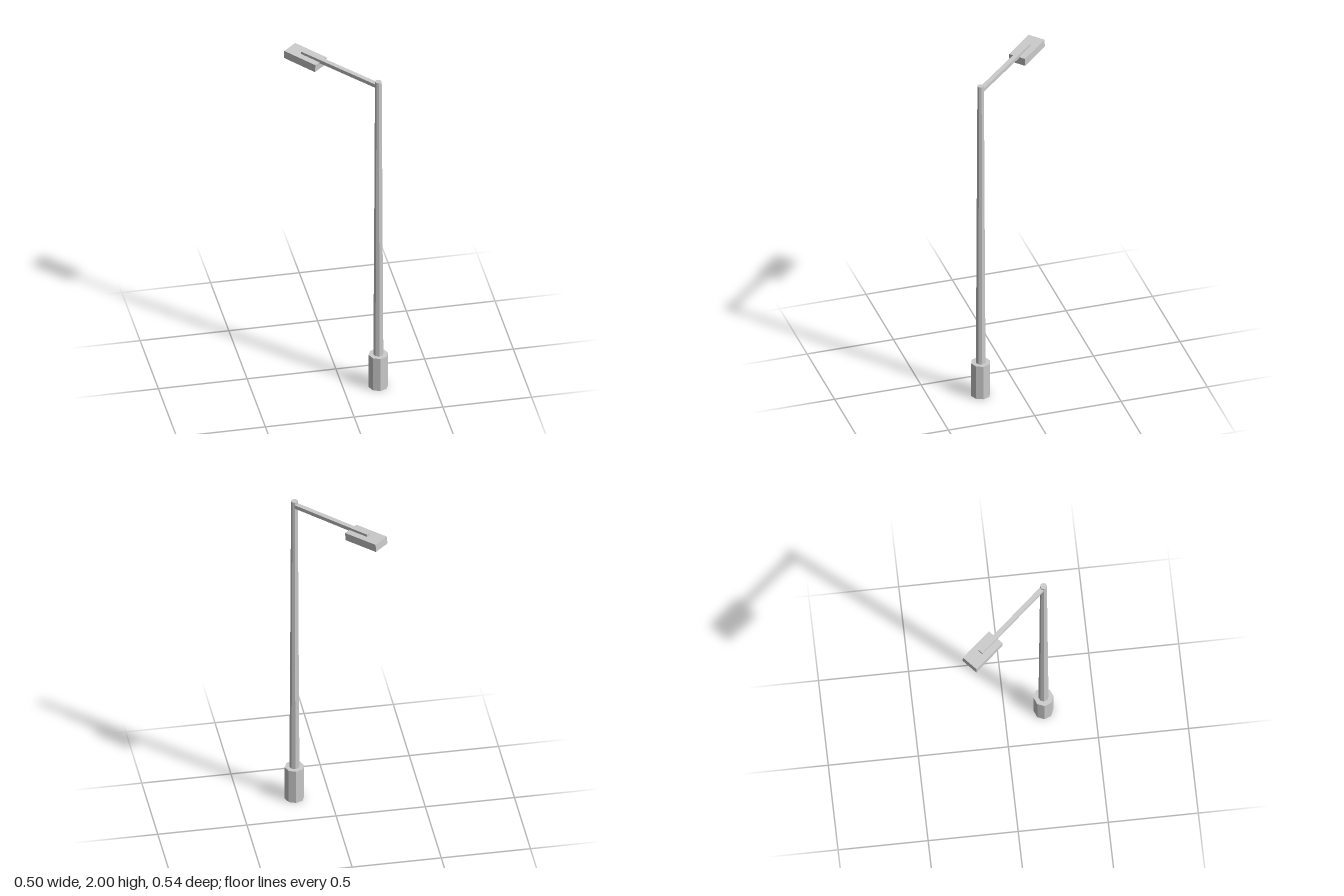
import * as THREE from 'three';

const material = new THREE.MeshStandardMaterial({ color: 0xcccccc, flatShading: true });

function addPart(parent, name, geometry, x, y, tilt = 0) {
  const mesh = new THREE.Mesh(geometry, material);
  mesh.name = name;
  mesh.position.set(x, y, 0);
  mesh.rotation.z = tilt;
  parent.add(mesh);
  return mesh;
}

// Upright tapered tube with eight sides, closed on top and open below
function octagonTube(rTop, rBottom, height) {
  const points = [[rBottom, 0], [rTop, height], [0, height]];
  return new THREE.LatheGeometry(points.map(([r, y]) => new THREE.Vector2(r, y)), 8);
}

export function createModel() {
  const model = new THREE.Group();
  model.name = 'streetLamp';

  // Upright parts, off centre so that the whole lamp is centred
  const post = new THREE.Group();
  post.name = 'post';
  post.position.set(0.195, 0, 0.216);
  model.add(post);
  addPart(post, 'base', octagonTube(0.055, 0.055, 0.21), 0, 0);
  addPart(post, 'pole', octagonTube(0.019, 0.028, 1.79), 0, 0.208);

  // Arm and lamp head run along local +x, turned towards the back right
  const boom = new THREE.Group();
  boom.name = 'boom';
  boom.rotation.y = Math.atan2(0.745, -0.667);
  post.add(boom);
  addPart(boom, 'arm', new THREE.BoxGeometry(0.513, 0.022, 0.027), 0.264, 1.98, 0.04);

  // Lamp head with a shallow lens set in from its rim
  const tilt = 0.055;
  const head = addPart(boom, 'lampHead', new THREE.BoxGeometry(0.214, 0.046, 0.102), 0.503, 1.963, tilt);
  addPart(head, 'lens', new THREE.BoxGeometry(0.19, 0.012, 0.08), 0, -0.027);

  return model;
}
